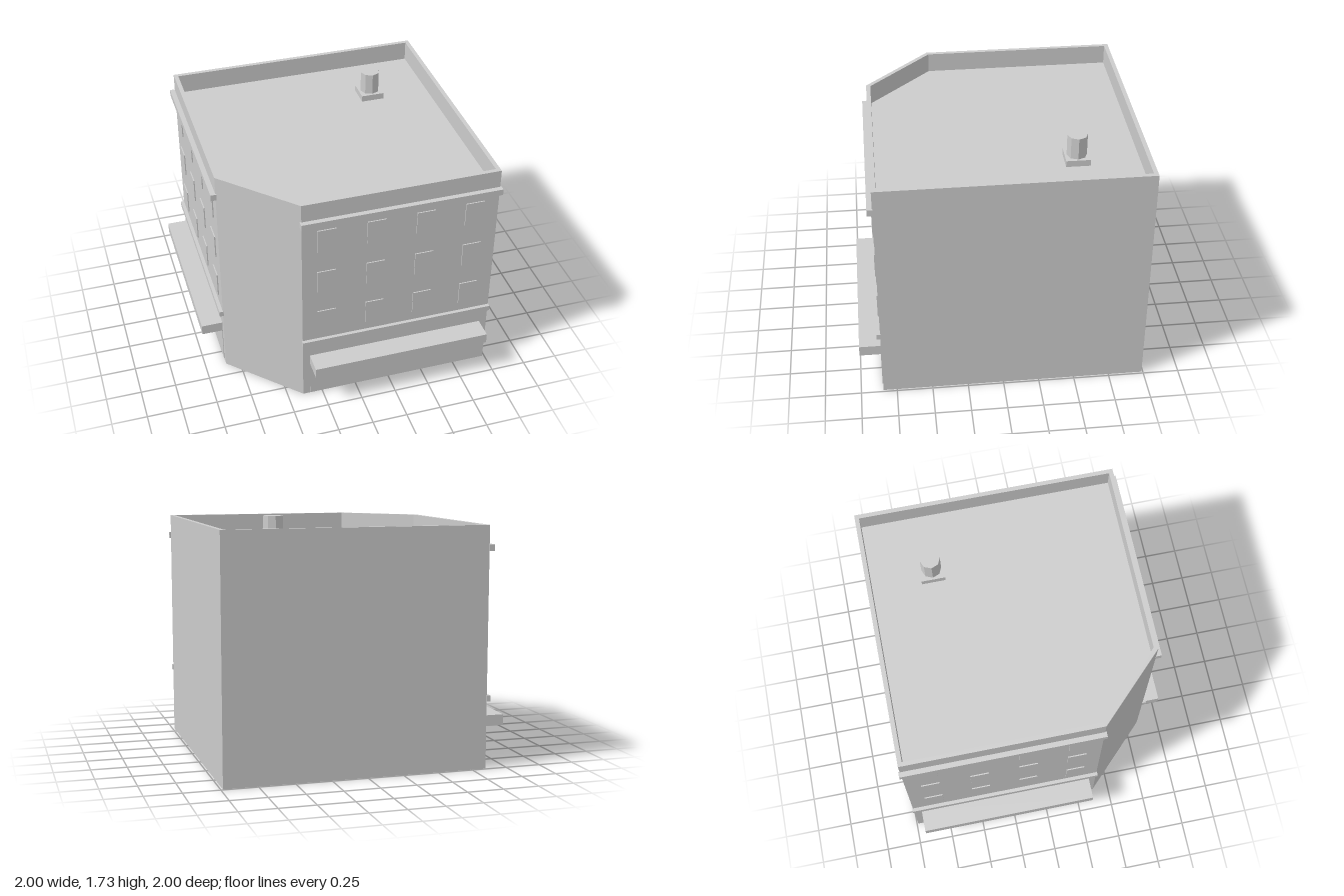
import * as THREE from 'three';

const FRONT = 0.845; // z of the front wall; the side street wall mirrors it across the cut corner
const ROOF = 1.53, TOP = 1.67;

export function createModel() {
  const model = new THREE.Group();
  model.name = 'cornerBuilding';
  const stone = new THREE.MeshStandardMaterial({ color: 0xcccccc });
  stone.name = 'light grey';

  const add = (name, geometry, parent = model) => {
    const mesh = new THREE.Mesh(geometry, stone);
    mesh.name = name;
    parent.add(mesh);
    return mesh;
  };

  // Box given by its limits on each axis
  const block = (name, x0, x1, y0, y1, z0, z1, parent) => {
    const mesh = add(name, new THREE.BoxGeometry(x1 - x0, y1 - y0, z1 - z0), parent);
    mesh.position.set((x0 + x1) / 2, (y0 + y1) / 2, (z0 + z1) / 2);
    return mesh;
  };

  // Square plan with one corner cut off; inset moves every wall inwards
  const plan = (inset) => {
    const x0 = -0.85 + inset, x1 = 0.985 - inset;
    const z0 = -0.99 + inset, z1 = FRONT - inset;
    const cut = 0.46 - inset * (2 - Math.SQRT2);
    return [[x0, z0], [x0, z1 - cut], [x0 + cut, z1], [x1, z1], [x1, z0]]
      .map(([x, z]) => new THREE.Vector2(x, -z));
  };
  const raise = (shape, y0, y1) =>
    new THREE.ExtrudeGeometry(shape, { depth: y1 - y0, bevelEnabled: false })
      .rotateX(-Math.PI / 2).translate(0, y0, 0);

  // Main body and parapet
  add('body', raise(new THREE.Shape(plan(0)), 0, ROOF));
  const rim = new THREE.Shape(plan(0));
  rim.holes.push(new THREE.Path(plan(0.03)));
  add('parapet', raise(rim, ROOF, TOP));

  // Details repeated on the two street walls
  const front = new THREE.Group();
  front.name = 'frontFacade';
  const side = new THREE.Group();
  side.name = 'sideFacade';
  model.add(front, side);
  const both = (name, u0, u1, y0, y1, depth) => {
    const z0 = FRONT - 0.005, z1 = FRONT + depth;
    block(name, u0, u1, y0, y1, z0, z1, front);
    block(name, -z1 - 0.005, -z0 - 0.005, y0, y1, -u1 - 0.005, -u0 - 0.005, side);
  };

  both('cornice', -0.4, 0.995, 1.495, 1.54, 0.035);
  both('stringCourse', -0.395, 0.99, 0.47, 0.51, 0.025);
  both('awning', -0.34, 0.93, 0.285, 0.36, 0.15);
  both('shopFront', -0.34, 0.93, 0.01, 0.285, 0.004);

  // Three floors of four windows
  for (const y of [0.58, 0.925, 1.27]) {
    for (let i = 0; i < 4; i++) {
      const u = -0.285 + i * 0.345;
      both('window', u, u + 0.13, y, y + 0.178, 0.008);
    }
  }

  // Roof chimney
  block('chimneyBase', 0.442, 0.608, ROOF, ROOF + 0.045, -0.618, -0.452);
  const flue = add('chimneyFlue', new THREE.CylinderGeometry(0.069, 0.069, 0.157, 8).toNonIndexed());
  flue.geometry.computeVertexNormals();
  flue.position.set(0.525, ROOF + 0.1215, -0.535);

  return model;
}
